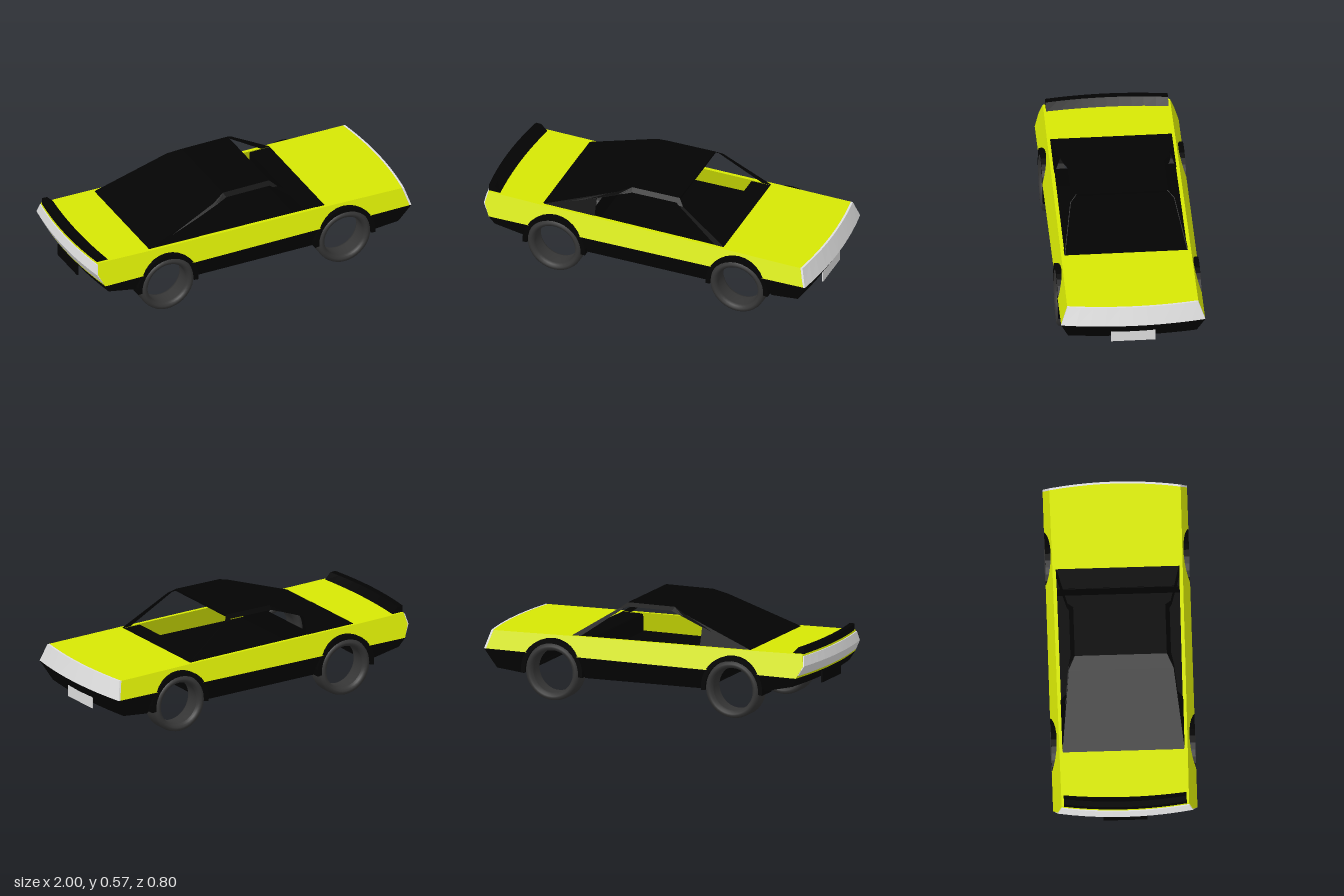
import * as THREE from 'three';

const mat = (name, color) => {
  const m = new THREE.MeshStandardMaterial({ color });
  m.name = name;
  return m;
};

const WHEEL_X = [-0.54, 0.555];
const AXLE_Y = 0.165, ARCH_R = 0.18, BELT = 0.262;

// half widths of the body and the cabin at height y
const lowerHalf = y => 0.35 + (y - 0.13) / (BELT - 0.13) * 0.05;
const upperHalf = y => 0.4 - (y - BELT) * 0.36;
const cabinHalf = y => y < 0.54 ? 0.34 - (y - 0.38) * 0.31 : 0.29 - (y - 0.54) * 1.25;

// z rules: t runs from -1 to 1 across the part
const across = half => (t, y) => t * half(y);
const skin = (half, side, thick) => (t, y) => side * (half(y) - thick / 2) + t * thick / 2;

// points along a wheel arch
function arc(cx, from, to, r = ARCH_R) {
  const pts = [];
  for (let i = 0; i <= 16; i++) {
    const a = from + (to - from) * i / 16;
    pts.push([cx + r * Math.cos(a), AXLE_Y + r * Math.sin(a)]);
  }
  return pts;
}

// nose and tail are bowed in plan
function bowed(x, z) {
  const k = THREE.MathUtils.clamp((Math.abs(x) - 0.75) / 0.2, 0, 1);
  return x - Math.sign(x) * 0.035 * k * (z / 0.4) ** 2;
}

// side profiles carried across the car as solids
function slab(profiles, zRule, steps = 1) {
  const shapes = profiles.map(p => new THREE.Shape(p.map(q => new THREE.Vector2(q[0], q[1]))));
  const g = new THREE.ExtrudeGeometry(shapes, { depth: 2, steps, bevelEnabled: false });
  const pos = g.attributes.position;
  for (let i = 0; i < pos.count; i++) {
    const y = pos.getY(i), z = zRule(pos.getZ(i) - 1, y);
    pos.setXYZ(i, bowed(pos.getX(i), z), y, z);
  }
  g.computeVertexNormals();
  return g;
}

// single skin across the car; faces up when it runs towards +x, down when reversed
function sheet([x0, y0], [x1, y1], half) {
  const g = new THREE.PlaneGeometry(2, 2, 1, 10);
  const pos = g.attributes.position;
  for (let i = 0; i < pos.count; i++) {
    const u = (pos.getX(i) + 1) / 2;
    const y = y0 + (y1 - y0) * u, z = -pos.getY(i) * half(y);
    pos.setXYZ(i, bowed(x0 + (x1 - x0) * u, z), y, z);
  }
  g.computeVertexNormals();
  return g;
}

export function createModel() {
  const yellow = mat('yellow paint', 0xd7e804);
  const black = mat('black trim', 0x030303);
  const silver = mat('silver', 0xdedede);
  const rubber = mat('tyre grey', 0x353535);

  const car = new THREE.Group();
  car.name = 'car';
  const add = (name, geometry, material, x = 0, y = 0, z = 0) => {
    const m = new THREE.Mesh(geometry, material);
    m.name = name;
    m.position.set(x, y, z);
    car.add(m);
    return m;
  };
  const [rx, fx] = WHEEL_X;
  const top = Math.asin((BELT - AXLE_Y) / ARCH_R), low = -0.1;

  // lower body in three pieces, with floor skins bridging the wheel wells
  add('lowerBody', slab([
    [[-0.965, BELT], [-0.93, 0.21], [-0.72, 0.165], ...arc(rx, Math.PI - low, Math.PI - top)],
    [...arc(rx, top, low), [-0.35, 0.146], [0.37, 0.138], ...arc(fx, Math.PI - low, Math.PI - top)],
    [...arc(fx, top, low), [0.745, 0.132], [0.93, 0.15], [1.0, BELT]],
  ], across(lowerHalf), 10), black);
  add('rearFloor', sheet([-0.35, 0.146], [-0.725, 0.165], () => 0.275), black);
  add('frontFloor', sheet([0.745, 0.132], [0.37, 0.138], () => 0.275), black);

  // yellow flanks with arch cut-outs
  const flank = [
    [-0.965, BELT], ...arc(rx, Math.PI - top, top), ...arc(fx, Math.PI - top, top),
    [0.99, BELT], [0.952, 0.362], [0.45, 0.371], [-0.63, 0.386], [-0.972, 0.393], [-0.988, 0.33],
  ];
  for (const side of [1, -1])
    add(side > 0 ? 'leftFlank' : 'rightFlank', slab([flank], skin(upperHalf, side, 0.02)), yellow);

  // bonnet, boot lid and tail
  add('bonnet', sheet([0.455, 0.3715], [0.962, 0.3625], upperHalf), yellow);
  add('bootLid', sheet([-0.975, 0.3935], [-0.63, 0.3865], upperHalf), yellow);
  add('tailPanel', slab([[[-0.965, BELT], [-0.94, BELT], [-0.94, 0.385], [-0.978, 0.393], [-0.994, 0.33]]],
    across(upperHalf), 10), yellow);

  // silver end panels
  add('nosePanel', slab([[[0.988, BELT], [1.0, BELT], [0.965, 0.363], [0.953, 0.363]]],
    across(upperHalf), 10), silver);
  add('tailBand', slab([[[-0.972, 0.275], [-0.965, 0.275], [-0.985, 0.33], [-0.975, 0.383], [-0.987, 0.383], [-1.0, 0.33]]],
    across(y => upperHalf(y) - 0.002), 10), silver);

  // rear spoiler
  add('spoiler', slab([[[-0.978, 0.385], [-0.9, 0.388], [-0.945, 0.428], [-0.978, 0.43]]],
    across(() => 0.34), 10), black);

  // wheel arch liners and tyres
  const tyre = [[0.12, -0.04], [0.126, -0.055], [0.137, -0.0625], [0.146, -0.0625], [0.158, -0.055], [0.163, -0.038],
    [0.163, 0.038], [0.158, 0.055], [0.146, 0.0625], [0.137, 0.0625], [0.126, 0.055], [0.12, 0.04], [0.12, -0.04]];
  const tyreGeometry = new THREE.LatheGeometry(tyre.map(p => new THREE.Vector2(p[0], p[1])), 40);
  tyreGeometry.rotateX(Math.PI / 2);
  for (const cx of WHEEL_X) for (const side of [1, -1]) {
    const name = (cx < 0 ? 'rear' : 'front') + (side > 0 ? 'Left' : 'Right');
    add(name + 'ArchLiner', slab([
      [...arc(cx, -0.1, Math.PI + 0.1, 0.187), ...arc(cx, Math.PI + 0.1, -0.1, 0.161)],
    ], t => side * 0.335 + t * 0.064), black);
    add(name + 'Wheel', tyreGeometry, rubber, cx, 0.163, side * 0.3375);
  }

  // roof with closed rear slope
  add('roofAndRearSlope', slab([[
    [-0.63, 0.384], [-0.59, 0.384], [-0.2, 0.527], [-0.125, 0.553], [0.155, 0.553],
    [0.155, 0.568], [-0.13, 0.568], [-0.205, 0.54],
  ]], across(cabinHalf)), black);

  // open side window frames with solid rear quarters
  const frame = [
    [-0.63, 0.38], [-0.32, 0.38], [-0.32, 0.48], [-0.18, 0.531], [-0.12, 0.549], [0.145, 0.549],
    [0.165, 0.54], [0.405, 0.37], [0.46, 0.368], [0.19, 0.54], [0.155, 0.568], [-0.13, 0.568], [-0.205, 0.54],
  ];
  for (const side of [1, -1])
    add(side > 0 ? 'leftWindowFrame' : 'rightWindowFrame', slab([frame], skin(cabinHalf, side, 0.004)), black);

  // cabin ends
  add('dashboard', new THREE.BoxGeometry(0.03, 0.1, 0.7), black, 0.352, 0.314, 0);
  add('dashboardTop', new THREE.BoxGeometry(0.12, 0.012, 0.68), black, 0.4, 0.361, 0);
  add('rearBulkhead', new THREE.PlaneGeometry(0.7, 0.12), black, -0.352, 0.322, 0).rotation.y = Math.PI / 2;

  // number plates, left blank
  const plate = new THREE.BoxGeometry(0.008, 0.065, 0.245);
  add('frontPlate', plate, silver, 0.956, 0.168, 0);
  add('rearPlate', plate, black, -0.963, 0.222, 0);

  return car;
}
